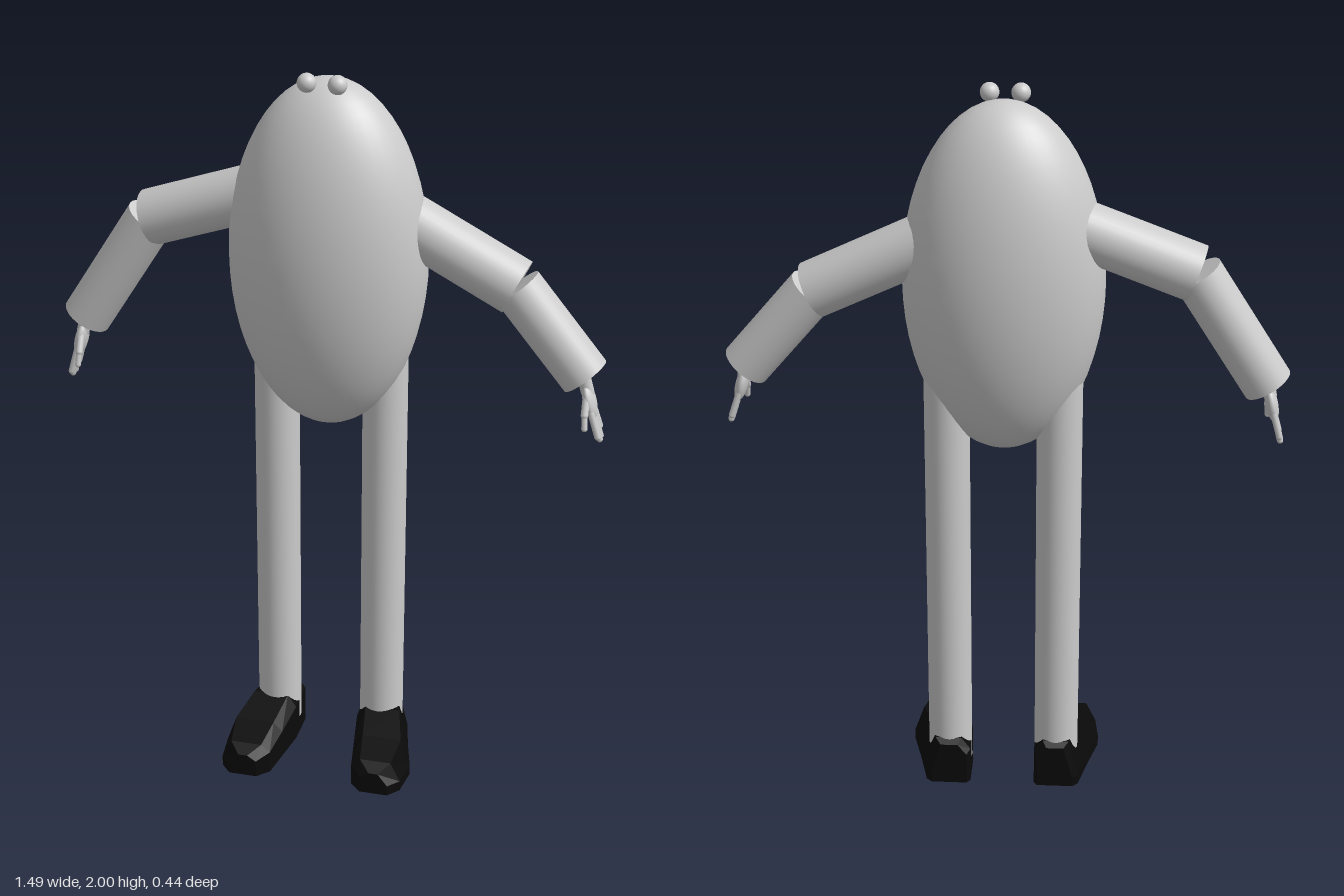
import * as THREE from 'three';

const grey = new THREE.MeshStandardMaterial({ color: 0xcccccc });
const black = new THREE.MeshStandardMaterial({ color: 0x0a0a0a, flatShading: true });
const vec = (p) => new THREE.Vector3(...p);

function add(parent, name, geometry, material = grey) {
  const mesh = new THREE.Mesh(geometry, material);
  mesh.name = name;
  parent.add(mesh);
  return mesh;
}

// Place a shape that runs along y between two points
function span(mesh, a, b) {
  const dir = vec(b).sub(vec(a));
  mesh.position.copy(vec(a)).addScaledVector(dir, 0.5);
  mesh.quaternion.setFromUnitVectors(new THREE.Vector3(0, 1, 0), dir.normalize());
  return mesh;
}

function tube(parent, name, a, b, radius) {
  const length = vec(a).distanceTo(vec(b));
  return span(add(parent, name, new THREE.CylinderGeometry(radius, radius, length, 32)), a, b);
}

function finger(parent, name, a, b, radius) {
  const length = vec(a).distanceTo(vec(b));
  return span(add(parent, name, new THREE.CapsuleGeometry(radius, length, 4, 10)), a, b);
}

// Hand hanging down -y, thin in x, thumb towards +z
function makeHand(side) {
  const hand = new THREE.Group();
  finger(hand, 'wrist', [0, 0.03, 0], [0, -0.04, 0], 0.018);
  const palm = add(hand, 'palm', new THREE.SphereGeometry(1, 20, 14));
  palm.scale.set(0.017, 0.052, 0.036);
  palm.position.y = -0.065;
  const lengths = [0.158, 0.172, 0.17, 0.15];
  lengths.forEach((length, i) => {
    const z = 0.024 - i * 0.0165;
    finger(hand, 'finger', [0, -0.075, z], [side * 0.004, -length, z * 1.15], 0.0085);
  });
  finger(hand, 'thumb', [0, -0.04, 0.018], [-side * 0.012, -0.085, 0.045], 0.01);
  finger(hand, 'thumbTip', [-side * 0.012, -0.085, 0.045], [-side * 0.018, -0.118, 0.055], 0.008);
  return hand;
}

function makeArm(name, side, shoulder, elbow, wrist, handTilt) {
  const arm = new THREE.Group();
  arm.name = name;
  tube(arm, 'upperArm', shoulder, elbow, 0.076);
  tube(arm, 'forearm', elbow, wrist, 0.067);
  const hand = makeHand(side);
  hand.name = 'hand';
  hand.position.set(wrist[0], wrist[1], wrist[2] + 0.015);
  hand.rotation.z = side * handTilt;
  arm.add(hand);
  return arm;
}

// Shoe lofted from heel to toe: [z, inner x, outer x, height]
function shoeGeometry(side) {
  const sections = [
    [-0.12, 0.1, 0.2, 0.125], [-0.105, 0.09, 0.215, 0.14], [0, 0.09, 0.24, 0.14],
    [0.1, 0.105, 0.267, 0.108], [0.185, 0.118, 0.257, 0.085], [0.218, 0.15, 0.228, 0.065],
  ];
  const positions = [], index = [];
  const n = 6;
  const tri = (a, b, c) => index.push(...(side > 0 ? [a, b, c] : [a, c, b]));
  for (const [z, inner, outer, h] of sections) {
    const ring = [
      [inner, 0], [outer, 0], [outer, 0.03],
      [outer - 0.027, h], [inner + 0.025, h], [inner, h * 0.75],
    ];
    for (const [x, y] of ring) positions.push(side * x, y, z);
  }
  const last = (sections.length - 1) * n;
  for (let i = 0; i < last; i += n) {
    for (let j = 0; j < n; j++) {
      const k = (j + 1) % n;
      tri(i + j, i + k, i + n + k);
      tri(i + j, i + n + k, i + n + j);
    }
  }
  for (let j = 1; j < n - 1; j++) {
    tri(0, j + 1, j);
    tri(last, last + j, last + j + 1);
  }
  const geometry = new THREE.BufferGeometry();
  geometry.setAttribute('position', new THREE.Float32BufferAttribute(positions, 3));
  geometry.setIndex(index);
  geometry.computeVertexNormals();
  return geometry;
}

export function createModel() {
  const model = new THREE.Group();
  model.name = 'eggFigure';

  // Egg-shaped body
  const body = add(model, 'body', new THREE.SphereGeometry(1, 40, 28));
  body.scale.set(0.265, 0.478, 0.197);
  body.position.set(0, 1.5, -0.02);

  // Eyes, legs and shoes on both sides
  for (const side of [1, -1]) {
    const label = side > 0 ? 'left' : 'right';
    const eye = add(model, label + 'Eye', new THREE.SphereGeometry(0.025, 20, 14));
    eye.position.set(side * 0.04, 1.978, 0.046);
    tube(model, label + 'Leg', [side * 0.15, 0.05, -0.048], [side * 0.15, 1.3, -0.048], 0.061);
    add(model, label + 'Shoe', shoeGeometry(side), black);
  }

  // Arms, each in its own pose
  model.add(makeArm('leftArm', 1, [0.15, 1.63, -0.045], [0.5, 1.457, -0.02], [0.688, 1.233, -0.008], 0.27));
  model.add(makeArm('rightArm', -1, [-0.15, 1.665, -0.035], [-0.498, 1.542, -0.062], [-0.692, 1.238, -0.062], 0.22));
  return model;
}
